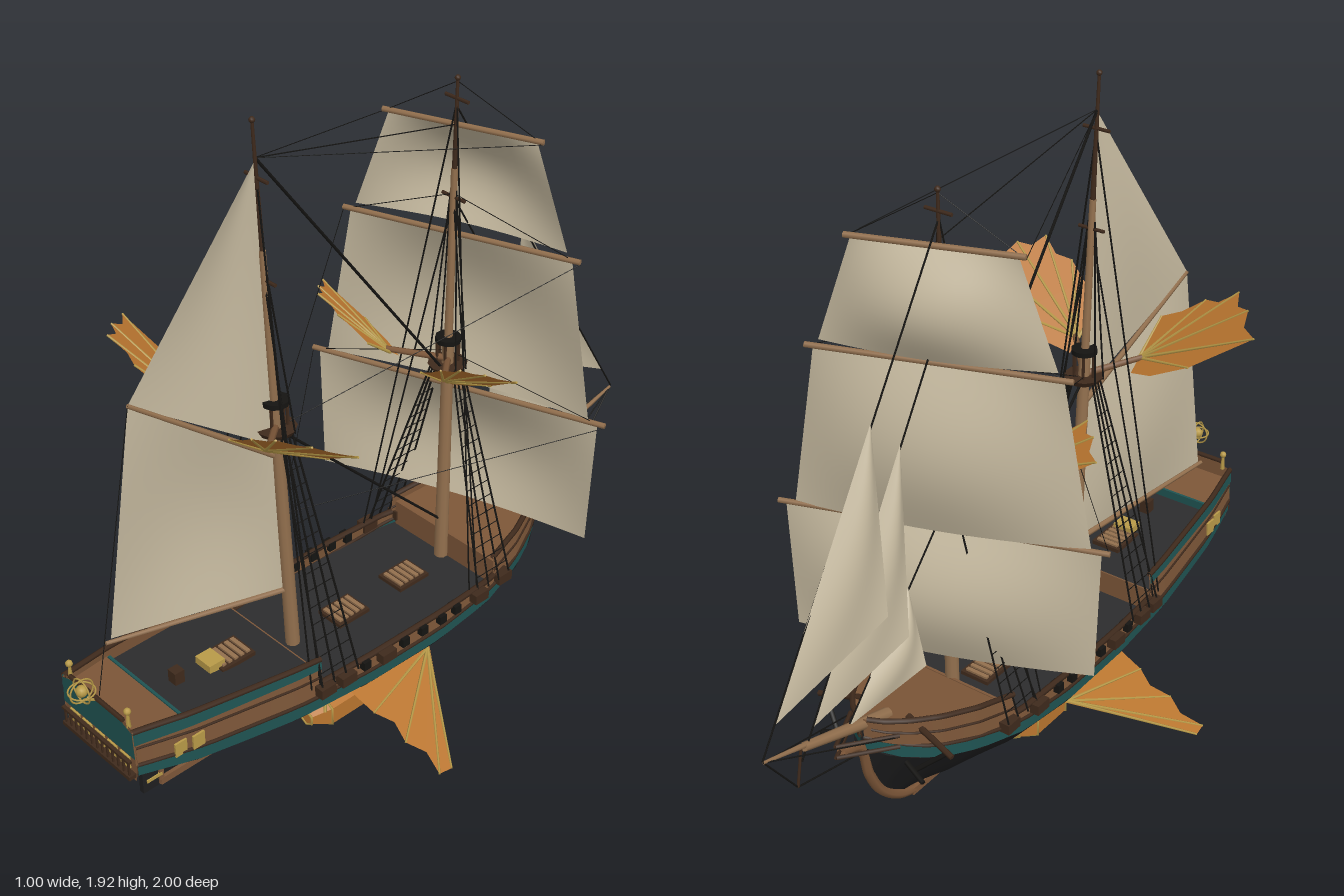
import * as THREE from 'three';
import { ParametricGeometry } from 'three/addons/geometries/ParametricGeometry.js';

const V = (x, y, z) => new THREE.Vector3(x, y, z);
const lerp = THREE.MathUtils.lerp;

// Hull stations: z, half width, keel y, black top y, teal top y, section exponent
const stations = [
  [0.92, 0.148, 0.365, 0.39, 0.425, 0.5], [0.78, 0.175, 0.335, 0.365, 0.405, 0.7],
  [0.76, 0.178, 0.17, 0.36, 0.4, 2.6], [0.62, 0.193, 0.17, 0.342, 0.385, 1.5],
  [0.45, 0.21, 0.17, 0.322, 0.365, 0.8], [0.2, 0.223, 0.17, 0.31, 0.35, 0.5],
  [-0.05, 0.225, 0.17, 0.31, 0.35, 0.45], [-0.25, 0.215, 0.17, 0.325, 0.365, 0.55],
  [-0.4, 0.183, 0.17, 0.35, 0.39, 0.75], [-0.5, 0.143, 0.185, 0.37, 0.41, 1],
  [-0.57, 0.1, 0.24, 0.392, 0.432, 1.1], [-0.62, 0.055, 0.32, 0.412, 0.452, 1.1],
  [-0.65, 0.006, 0.425, 0.432, 0.468, 1]];
function at(z, col) {
  let i = 0;
  while (i < stations.length - 2 && z < stations[i + 1][0]) i++;
  const a = stations[i], b = stations[i + 1];
  return lerp(a[col], b[col], THREE.MathUtils.clamp((a[0] - z) / (a[0] - b[0]), 0, 1));
}
const sideX = (z, y) => at(z, 1) * (1 - 0.35 * Math.max(0, y - at(z, 4)));
const tealTop = z => at(z, 4);
const aftRail = z => 0.475 + (z - 0.37) * 0.1;
const foreRail = z => 0.46 + (-0.28 - z) * 0.178;
const waistRail = () => 0.4;

export function createModel() {
  const root = new THREE.Group();
  root.name = 'sailingShip';
  const mat = (name, color) => {
    const m = new THREE.MeshStandardMaterial({ color, side: THREE.DoubleSide });
    m.name = name;
    return m;
  };
  const black = mat('hullBlack', 0x1e1e1f), teal = mat('tealPaint', 0x1f5352), wood = mat('brownWood', 0x7c5638),
    dark = mat('darkWood', 0x3f2a1c), canvas = mat('sailCanvas', 0xc3b79d), copper = mat('copperFin', 0xb9752f),
    gold = mat('brass', 0xb89a48), rope = mat('tarredRope', 0x151412), spar = mat('sparWood', 0x93704e),
    deckMat = mat('darkDeck', 0x2c2c2d);

  const add = (name, geo, m, parent = root) => {
    const mesh = new THREE.Mesh(geo, m);
    mesh.name = name;
    parent.add(mesh);
    return mesh;
  };
  const group = name => {
    const g = new THREE.Group();
    g.name = name;
    root.add(g);
    return g;
  };
  const box = (name, m, w, h, d, x, y, z, parent) => {
    const b = add(name, new THREE.BoxGeometry(w, h, d), m, parent);
    b.position.set(x, y, z);
    return b;
  };
  const rod = (name, m, a, b, r0, r1 = r0, n = 5, parent = root) => {
    const c = add(name, new THREE.CylinderGeometry(r1, r0, a.distanceTo(b), n), m, parent);
    c.position.copy(a).lerp(b, 0.5);
    c.quaternion.setFromUnitVectors(V(0, 1, 0), b.clone().sub(a).normalize());
    return c;
  };
  const grid = (name, m, nu, nv, f) =>
    add(name, new ParametricGeometry((u, v, t) => t.copy(f(u, v)), nu, nv), m);
  const tube = (name, m, pts, r, n = 30) =>
    add(name, new THREE.TubeGeometry(new THREE.CatmullRomCurve3(pts), n, r, 6), m);
  const sides = [1, -1];

  // Lower hull, passing through each station
  const last = stations.length - 1;
  grid('lowerHull', black, last * 4, 28, (u, v) => {
    const p = u * last, i = Math.min(Math.floor(p), last - 1);
    const z = lerp(stations[i][0], stations[i + 1][0], p - i), q = v * 2 - 1, t = q * q;
    return V(Math.sign(q) * at(z, 1) * Math.pow(t, at(z, 5)), lerp(at(z, 2), at(z, 3), t), z);
  });

  // Painted and planked side bands
  const wall = (name, m, z0, z1, lo, hi, off = 0) => sides.forEach(s =>
    grid(name, m, 28, 2, (u, v) => {
      const z = lerp(z0, z1, u), y = lerp(lo(z), hi(z), v);
      return V(s * (sideX(z, y) + off), y, z);
    }));
  const rail = (name, m, z0, z1, fy, r) => sides.forEach(s => {
    const pts = [];
    for (let i = 0; i <= 16; i++) {
      const z = lerp(z0, z1, i / 16), y = fy(z);
      pts.push(V(s * sideX(z, y), y, z));
    }
    tube(name, m, pts, r);
  });
  wall('tealBand', teal, 0.92, -0.65, z => at(z, 3), tealTop);
  wall('quarterPlanking', wood, 0.925, 0.37, tealTop, aftRail);
  wall('quarterTealStripe', teal, 0.925, 0.37, z => aftRail(z) - 0.03 - (z - 0.37) * 0.02, aftRail, 0.004);
  wall('waistPlanking', wood, 0.37, -0.28, tealTop, waistRail);
  wall('bowPlanking', wood, -0.28, -0.65, tealTop, foreRail);
  rail('quarterRail', dark, 0.925, 0.37, aftRail, 0.008);
  rail('waistRail', dark, 0.37, -0.28, waistRail, 0.009);
  rail('bowRail', dark, -0.28, -0.645, foreRail, 0.008);
  rail('wale', dark, 0.92, -0.65, tealTop, 0.006);
  rail('quarterMoulding', dark, 0.92, 0.37, z => lerp(tealTop(z), aftRail(z), 0.5), 0.004);
  rail('bowMoulding', dark, -0.28, -0.64, z => lerp(tealTop(z), foreRail(z), 0.5), 0.004);

  // Decks, bulkheads and hatches
  const deck = (name, m, z0, z1, fy) => grid(name, m, 20, 2, (u, v) => {
    const z = lerp(z0, z1, u);
    return V((v * 2 - 1) * sideX(z, fy(z)), fy(z), z);
  });
  deck('mainDeck', deckMat, 0.37, -0.3, () => 0.355);
  deck('quarterDeck', deckMat, 0.77, 0.37, z => aftRail(z) - 0.05);
  deck('poopDeck', wood, 0.92, 0.77, z => aftRail(z) - 0.03);
  deck('foreDeck', wood, -0.3, -0.645, z => foreRail(z) - 0.03);
  box('aftBulkhead', wood, 0.41, 0.08, 0.008, 0, 0.385, 0.37);
  box('poopBulkhead', teal, 0.33, 0.035, 0.008, 0, 0.472, 0.77);
  box('foreBulkhead', wood, 0.4, 0.09, 0.008, 0, 0.39, -0.295);
  for (const [z, y] of [[-0.13, 0.36], [0.1, 0.36], [0.51, 0.445]]) {
    box('hatchFrame', dark, 0.09, 0.012, 0.11, 0, y, z);
    for (let i = -2; i <= 2; i++) box('hatchSlat', spar, 0.07, 0.006, 0.012, 0, y + 0.009, z + i * 0.02);
  }
  box('skylight', gold, 0.06, 0.03, 0.05, 0, 0.455, 0.57);
  box('helmStand', dark, 0.03, 0.05, 0.03, 0, 0.47, 0.68);

  // Transom, stern gallery and finials
  const plate = (name, m, pts, z) => {
    add(name, new THREE.ShapeGeometry(new THREE.Shape(pts.map(p => new THREE.Vector2(...p)))), m).position.z = z;
  };
  plate('transom', wood, [[-0.14, 0.365], [0.14, 0.365], [0.15, 0.43], [0.145, 0.53], [0.1, 0.548], [-0.1, 0.548], [-0.145, 0.53], [-0.15, 0.43]], 0.921);
  plate('transomTeal', teal, [[-0.148, 0.445], [0.148, 0.445], [0.143, 0.527], [0.1, 0.543], [-0.1, 0.543], [-0.143, 0.527]], 0.926);
  box('galleryFloor', dark, 0.28, 0.012, 0.035, 0, 0.385, 0.925);
  box('galleryRail', dark, 0.28, 0.008, 0.01, 0, 0.436, 0.936);
  rod('taffrail', dark, V(-0.11, 0.55, 0.925), V(0.11, 0.55, 0.925), 0.007);
  for (let i = -6; i <= 6; i++) box('baluster', dark, 0.005, 0.045, 0.005, i * 0.022, 0.412, 0.936);
  for (let i = -2; i <= 2; i++) box('sternWindow', gold, 0.038, 0.038, 0.005, i * 0.052, 0.418, 0.925);
  for (const s of sides) {
    for (const z of [0.755, 0.805]) box('quarterWindow', gold, 0.006, 0.042, 0.036, s * (sideX(z, 0.42) + 0.003), 0.425, z);
    rod('finialPost', gold, V(s * 0.12, 0.53, 0.917), V(s * 0.12, 0.575, 0.917), 0.007, 0.004);
    add('finialBall', new THREE.SphereGeometry(0.01, 8, 6), gold).position.set(s * 0.12, 0.58, 0.917);
  }
  // Ringed stern lantern
  const lantern = group('sternLantern');
  lantern.position.set(0, 0.595, 0.963);
  for (const [x, y] of [[0, 0], [0, Math.PI / 2], [Math.PI / 2, 0]])
    add('lanternRing', new THREE.TorusGeometry(0.034, 0.0025, 5, 20), gold, lantern).rotation.set(x, y, 0);
  add('lanternGlobe', new THREE.SphereGeometry(0.016, 10, 8), gold, lantern);
  rod('lanternArm', gold, V(0, 0.545, 0.925), V(0, 0.565, 0.96), 0.004);

  // Keel, stem, rudder
  box('keel', wood, 0.022, 0.022, 1.23, 0, 0.162, 0.145);
  tube('stem', wood, [V(0, 0.162, -0.46), V(0, 0.185, -0.515), V(0, 0.245, -0.585), V(0, 0.33, -0.63), V(0, 0.44, -0.66), V(0, 0.47, -0.73)], 0.014);
  box('sternPost', wood, 0.02, 0.19, 0.014, 0, 0.25, 0.757);
  box('rudder', black, 0.016, 0.2, 0.05, 0, 0.255, 0.792);
  for (const y of [0.19, 0.24, 0.29]) box('rudderHinge', gold, 0.022, 0.01, 0.05, 0, y, 0.78);

  // Channels, gun ports, catheads and head rails
  for (const s of sides) {
    for (const z of [0.16, 0.3, 0.37, -0.2, -0.31]) box('channelBoard', dark, 0.035, 0.03, 0.05, s * (at(z, 1) + 0.008), 0.385, z);
    for (const z of [0.23, 0.09, 0.02, -0.05, -0.11]) box('gunPort', rope, 0.03, 0.026, 0.024, s * at(z, 1), 0.388, z);
    rod('cathead', dark, V(s * 0.06, 0.49, -0.54), V(s * 0.22, 0.45, -0.565), 0.01, 0.008);
    rod('anchorShank', rope, V(s * 0.2, 0.45, -0.56), V(s * 0.13, 0.39, -0.6), 0.007);
    rod('anchorFluke', rope, V(s * 0.17, 0.38, -0.62), V(s * 0.1, 0.4, -0.6), 0.007);
    for (const y of [0.44, 0.475]) rod('headRail', dark, V(s * 0.08, y, -0.6), V(0, y + 0.025, -0.75), 0.006);
  }

  // Masts with tops
  const masts = {
    main: y => V(0, y, 0.29 + (y - 0.4) * 0.047),
    fore: y => V(0, y, -0.28 - (y - 0.4) * 0.011)
  };
  for (const [key, topY, foot, nestY, base] of [['main', 1.92, 0.36, 1.07, 0.32], ['fore', 1.83, 0.36, 1.0, -0.265]]) {
    const p = masts[key];
    rod(key + 'LowerMast', spar, p(foot), p(nestY + 0.08), 0.02, 0.016, 10);
    rod(key + 'Topmast', spar, p(nestY), p(1.58), 0.012, 0.009, 8);
    rod(key + 'Pole', dark, p(1.5), p(topY), 0.008, 0.004, 6);
    add(key + 'Truck', new THREE.SphereGeometry(0.008, 8, 6), dark).position.copy(p(topY - 0.006));
    const c = p(nestY), nest = group(key + 'CrowsNest');
    nest.position.copy(c);
    add('nestFloor', new THREE.CylinderGeometry(0.055, 0.045, 0.016, 10), dark, nest);
    add('nestRail', new THREE.CylinderGeometry(0.036, 0.036, 0.014, 10), rope, nest).position.y = 0.082;
    for (let i = 0; i < 6; i++) {
      const a = i * Math.PI / 3;
      box('nestPost', dark, 0.006, 0.085, 0.006, 0.03 * Math.cos(a), 0.04, 0.03 * Math.sin(a), nest);
    }
    for (const y of [1.5, 1.77]) rod(key + 'Crosstree', dark, p(y).add(V(-0.04, 0, 0)), p(y).add(V(0.04, 0, 0)), 0.005);
    // Shrouds, ratlines and backstays
    const rig = group(key + 'Shrouds');
    for (const s of sides) {
      const low = i => V(s * (at(base, 1) + 0.012), 0.39, base + (i - 1.5) * 0.042);
      const high = i => V(s * 0.04, nestY, c.z + (i - 1.5) * 0.012);
      for (let i = 0; i < 4; i++) rod('shroud', rope, low(i), high(i), 0.0035, 0.0035, 4, rig);
      for (let k = 1; k < 14; k++)
        rod('ratline', rope, low(0).lerp(high(0), k / 15), low(3).lerp(high(3), k / 15), 0.0015, 0.0015, 3, rig);
      for (const [z, y] of [[0.06, 1.5], [0.09, 1.76]])
        rod('backstay', rope, V(s * 0.215, 0.4, base + z), p(y), 0.003, 0.003, 4, rig);
      for (const z of [-0.02, 0.02])
        rod('topShroud', rope, V(s * 0.05, nestY, c.z + z), p(1.52).add(V(s * 0.01, 0, 0)), 0.003, 0.003, 4, rig);
    }
  }

  // Sails: corners a b (head) and c d (foot), filled by the wind
  const sail = (name, a, b, c, d, belly, footBelly = 0) => grid(name, canvas, 14, 14, (u, v) => {
    const p = a.clone().lerp(b, u).lerp(c.clone().lerp(d, u), v);
    return p.addScaledVector(belly, Math.sin(Math.PI * u) * (Math.sin(Math.PI * v) + footBelly * v));
  });
  const onYard = (x, y) => V(x, y, -0.315 - 0.35 * x);
  for (const [name, yTop, xTop, yFoot, xFoot, yard] of [
    ['course', 0.915, 0.395, 0.54, 0.385, 0.415], ['topsail', 1.38, 0.3, 0.925, 0.37, 0.32], ['topgallant', 1.685, 0.195, 1.405, 0.285, 0.21]]) {
    sail(name, onYard(-xTop, yTop), onYard(xTop, yTop), onYard(-xFoot, yFoot), onYard(xFoot, yFoot), V(-0.015, 0, -0.055), 0.5);
    rod(name + 'Yard', spar, onYard(-yard, yTop + 0.006), onYard(yard, yTop + 0.006), 0.008, 0.008, 6);
    for (const s of sides) {
      rod('lift', rope, onYard(s * yard, yTop), masts.fore(yTop + 0.13), 0.0012, 0.0012, 3);
      rod('brace', rope, onYard(s * yard, yTop), masts.main(yTop > 1.5 ? 1.82 : yTop > 1 ? 1.07 : 0.8), 0.0012, 0.0012, 3);
    }
  }
  const peak = V(-0.085, 1.265, 0.7), throat = V(0, 0.99, 0.325), clew = V(-0.1, 0.605, 0.8), tack = V(0, 0.56, 0.305);
  sail('spanker', throat, peak, tack, clew, V(-0.03, 0, 0));
  sail('gaffTopsail', V(0, 1.81, 0.36), V(0, 1.81, 0.36), throat.clone().setY(1.02), peak, V(-0.02, 0, 0));
  rod('gaff', spar, throat, peak, 0.009, 0.006, 6);
  rod('boom', spar, V(0, 0.55, 0.3), V(-0.102, 0.597, 0.815), 0.009, 0.006, 6);
  rod('sheet', rope, peak, V(0, 0.55, 0.915), 0.0012);
  for (const [name, head, fore, aft, mastY] of [
    ['outerJib', V(0, 1.335, -0.563), V(0, 0.7, -0.954), V(-0.075, 0.85, -0.617), 1.75],
    ['innerJib', V(0, 1.23, -0.46), V(0, 0.61, -0.826), V(-0.07, 0.74, -0.536), 1.5],
    ['staysail', V(0, 0.81, -0.45), V(0, 0.53, -0.7), V(-0.06, 0.6, -0.46), 0.98]]) {
    sail(name, head, head, fore, aft, V(-0.03, 0, 0));
    rod(name + 'Stay', rope, masts.fore(mastY), fore.clone().lerp(head, -0.12), 0.0025);
  }

  // Bowsprit and its stays
  const tip = V(0, 0.62, -0.998), striker = V(0, 0.47, -0.89);
  rod('bowsprit', spar, V(0, 0.475, -0.55), V(0, 0.575, -0.86), 0.018, 0.012, 8);
  rod('jibboom', spar, V(0, 0.565, -0.81), tip, 0.009, 0.004, 6);
  rod('dolphinStriker', dark, V(0, 0.58, -0.87), striker, 0.004);
  rod('martingale', rope, tip, striker, 0.0025);
  rod('bobstay', rope, striker, V(0, 0.42, -0.66), 0.0025);
  for (const s of sides) rod('bowspritShroud', rope, tip, V(s * 0.08, 0.47, -0.6), 0.002);
  rod('mainStay', rope, masts.main(1.82), masts.fore(0.97), 0.004);
  rod('lowerMainStay', rope, masts.main(1.07), masts.fore(0.48), 0.004);
  rod('triaticStay', rope, masts.main(1.82), masts.fore(1.7), 0.0015);

  // Fan fins: flat outline in x and z, height from a tilted plane, ribs to the tips
  const fin = (name, outline, hub, tips, height) => sides.forEach(s => {
    const g = group(name), lift = ([x, z]) => V(s * x, height(x, z), z);
    const geo = new THREE.ShapeGeometry(new THREE.Shape(outline.map(p => new THREE.Vector2(...p))));
    const pos = geo.attributes.position;
    for (let i = 0; i < pos.count; i++) pos.setXYZ(i, ...lift([pos.getX(i), pos.getY(i)]).toArray());
    geo.computeVertexNormals();
    add('membrane', geo, copper, g);
    for (const t of tips) rod('rib', gold, lift(hub), lift(outline[t]), 0.005, 0.003, 5, g);
  });
  fin('hullFin', [[0.19, -0.045], [0.5, 0.175], [0.495, 0.215], [0.43, 0.2], [0.38, 0.228], [0.32, 0.212], [0.27, 0.24], [0.19, 0.25]],
    [0.2, -0.03], [1, 2, 4, 6], (x) => 0.272 - (x - 0.21) * 0.36);
  const fan = [[0, 0], [0.07, -0.015], [0.18, -0.005], [0.34, 0.05], [0.29, 0.085], [0.275, 0.13], [0.235, 0.145],
    [0.215, 0.185], [0.165, 0.165], [0.12, 0.178], [0.06, 0.155], [0, 0.15]];
  for (const [name, k, y0, z0, key] of [['mainMastFin', 1, 1.08, 0.4, 'main'], ['foreMastFin', 0.77, 1.02, -0.2, 'fore']]) {
    const h = (x, z) => y0 + (x - 0.1) * 0.434 + (z - z0) * 0.747;
    fin(name, fan.map(([x, z]) => [0.1 + x * k, z0 + z * k]), [0.1, z0 + 0.04 * k], [2, 3, 5, 7, 9, 11], h);
    for (const s of sides) rod(name + 'Arm', wood, masts[key](y0), V(s * 0.11, h(0.11, z0 + 0.04), z0 + 0.04), 0.01, 0.008, 6);
  }

  // Hexagonal pod under the keel
  const pod = group('keelPod');
  pod.position.set(0, 0.057, 0.121);
  const profile = [[0, -0.125], [0.025, -0.125], [0.055, -0.07], [0.055, 0.07], [0.025, 0.125], [0, 0.125]].map(p => new THREE.Vector2(...p));
  const podGeo = new THREE.LatheGeometry(profile, 6).toNonIndexed();
  podGeo.computeVertexNormals();
  add('podBody', podGeo, copper, pod).rotation.x = Math.PI / 2;
  for (const [z, r] of [[-0.125, 0.025], [-0.07, 0.055], [0.07, 0.055], [0.125, 0.025]]) {
    const ring = add('podRim', new THREE.TorusGeometry(r, 0.004, 5, 6), gold, pod);
    ring.position.z = z;
    ring.rotation.z = Math.PI / 2;
  }
  for (const s of sides) for (const e of sides)
    rod('podStrut', gold, V(s * 0.045, 0.03, e * 0.095), V(s * 0.01, 0.1, e * 0.06), 0.005, 0.005, 5, pod);
  return root;
}
